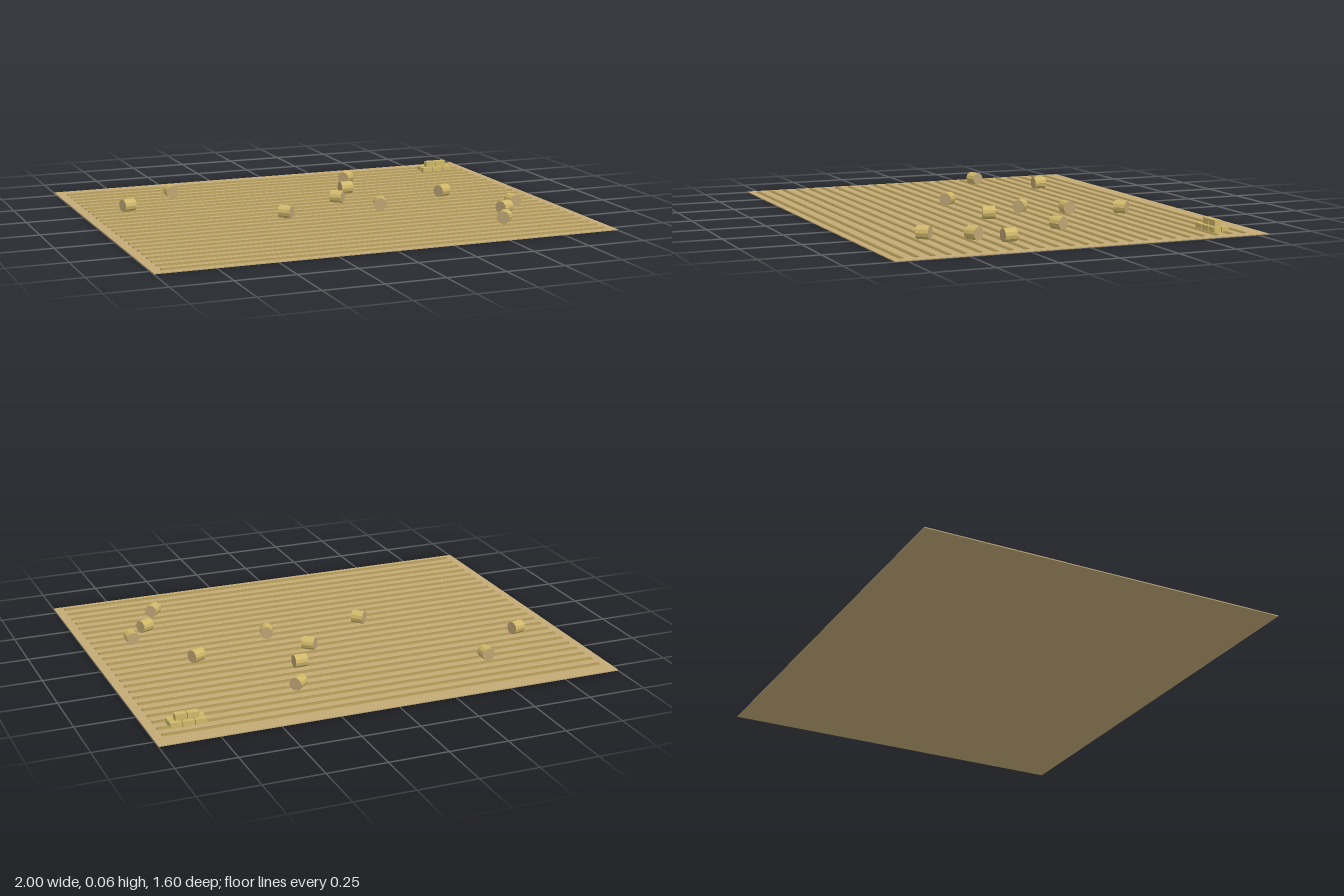
import * as THREE from 'three';

const mat = (name, color, flatShading = false) => {
  const m = new THREE.MeshStandardMaterial({ color, flatShading });
  m.name = name;
  return m;
};
const soil = mat('dry soil', 0xc3aa76);
const stubble = mat('stubble', 0xa58f52, true);
const straw = mat('straw', 0xd0b86a, true);
const strawEnd = mat('bale end', 0xbfa675);

function add(parent, name, geometry, material, x = 0, y = 0, z = 0) {
  const mesh = new THREE.Mesh(geometry, material);
  mesh.name = name;
  mesh.position.set(x, y, z);
  parent.add(mesh);
  return mesh;
}

// Low ridge with sloping sides running along x
function ridgeGeometry(length, width, height) {
  const s = new THREE.Shape([
    new THREE.Vector2(-width / 2, 0),
    new THREE.Vector2(width / 2, 0),
    new THREE.Vector2(width * 0.22, height),
    new THREE.Vector2(-width * 0.22, height),
  ]);
  const g = new THREE.ExtrudeGeometry(s, { depth: length, bevelEnabled: false });
  return g.translate(0, 0, -length / 2).rotateY(Math.PI / 2);
}

// Faceted round bale lying on its side, axis along (axisX, axisZ)
function addRoundBale(parent, x, z, axisX, axisZ) {
  const body = new THREE.CylinderGeometry(0.028, 0.028, 0.054, 12).rotateZ(Math.PI / 2);
  const bale = add(parent, 'roundBale', body, [straw, strawEnd, strawEnd], x, 0.0355, z);
  bale.rotation.y = Math.atan2(-axisZ, axisX);
}

export function createModel() {
  const model = new THREE.Group();
  model.name = 'hayField';

  // Ground slab
  add(model, 'ground', new THREE.BoxGeometry(2, 0.004, 1.6), soil, 0, 0.002, 0);

  // Stubble rows
  const ridge = ridgeGeometry(1.92, 0.022, 0.006);
  for (let i = 0; i < 24; i++) add(model, 'stubbleRow', ridge, stubble, 0, 0.0035, -0.713 + i * 0.064);

  // Scattered round bales: x, z and axis direction
  const bales = [
    [-0.54, -0.49, 0, 1], [0.31, -0.49, 0.75, -0.65], [-0.8, -0.27, 0.95, -0.28],
    [0.22, -0.275, 1, 0], [0.11, -0.105, 0.75, 0.65], [0.6, -0.055, 0.9, -0.4],
    [-0.21, 0.105, 0.7, 0.7], [0.23, 0.095, 0.35, -0.94], [0.795, 0.25, 0.03, 1],
    [0.7, 0.36, 0.9, -0.42], [0.61, 0.535, 0.65, -0.76],
  ];
  for (const b of bales) addRoundBale(model, ...b);

  // Stack of square bales: two rows of three with two on top
  const stack = new THREE.Group();
  stack.name = 'squareBaleStack';
  const block = new THREE.BoxGeometry(0.048, 0.025, 0.031);
  for (const z of [-0.653, -0.617])
    for (let i = 0; i < 3; i++) add(stack, 'squareBale', block, straw, 0.784 + i * 0.051, 0.0135, z);
  for (let i = 0; i < 2; i++) add(stack, 'squareBale', block, straw, 0.8095 + i * 0.051, 0.0385, -0.635);
  model.add(stack);

  return model;
}
